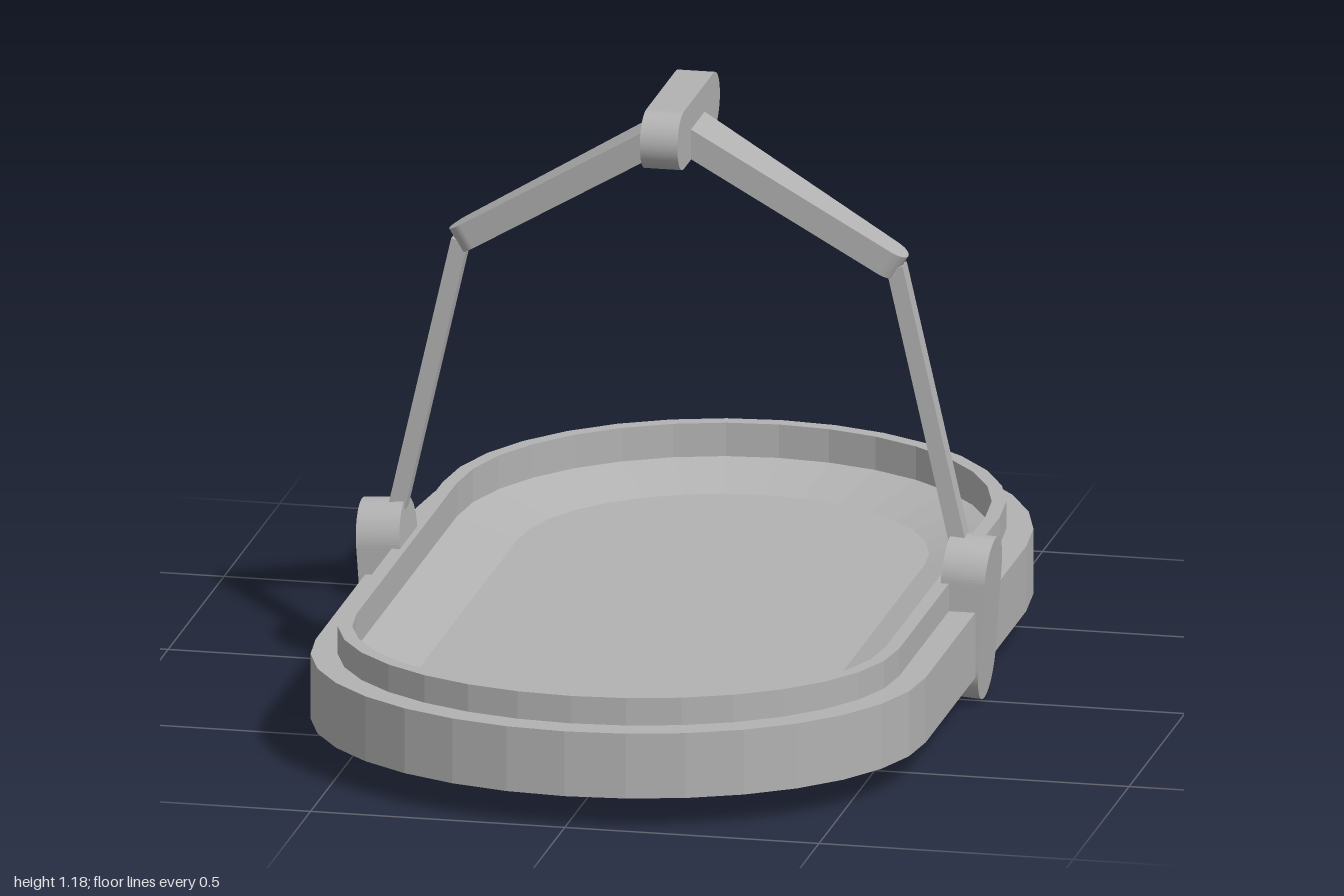
import * as THREE from 'three';

const grey = new THREE.MeshStandardMaterial({ color: 0xb2b2b2 });
grey.name = 'plain grey';

function addMesh(parent, name, geometry) {
  const mesh = new THREE.Mesh(geometry, grey);
  mesh.name = name;
  parent.add(mesh);
  return mesh;
}

// Closed outline: straight sides with a half ellipse at the front and back
function outline(a, front, back, y) {
  const points = [], n = 16;
  for (let i = 0; i <= n; i++) {
    const t = (i / n) * Math.PI;
    points.push([a * Math.cos(t), y, 0.5 + front * Math.sin(t)]);
  }
  for (let i = 0; i <= n; i++) {
    const t = Math.PI + (i / n) * Math.PI;
    points.push([a * Math.cos(t), y, -0.4 + back * Math.sin(t)]);
  }
  return points;
}

// Flat-faced skin over successive outlines
function loft(rings) {
  const pos = [];
  for (let r = 0; r < rings.length - 1; r++) {
    const lo = rings[r], hi = rings[r + 1];
    for (let i = 0; i < lo.length; i++) {
      const j = (i + 1) % lo.length;
      pos.push(...lo[i], ...hi[i], ...hi[j], ...lo[i], ...hi[j], ...lo[j]);
    }
  }
  const g = new THREE.BufferGeometry();
  g.setAttribute('position', new THREE.Float32BufferAttribute(pos, 3));
  g.computeVertexNormals();
  return g;
}

// Plate with round ends, facing sideways and centred on the origin
function roundedPlate(length, width, thickness, upright) {
  const r = width / 2, h = length / 2 - r;
  const s = new THREE.Shape();
  s.absarc(h, 0, r, -Math.PI / 2, Math.PI / 2, false);
  s.absarc(-h, 0, r, Math.PI / 2, Math.PI * 1.5, false);
  s.closePath();
  const g = new THREE.ExtrudeGeometry(s, { depth: thickness, bevelEnabled: false, curveSegments: 20 });
  g.translate(0, 0, -thickness / 2);
  if (upright) g.rotateZ(Math.PI / 2);
  return g.rotateY(Math.PI / 2);
}

// Tapered handle arm with a rounded tip, sloping down towards +x
function upperArmGeometry() {
  const s = new THREE.Shape();
  s.moveTo(0, -0.063);
  s.lineTo(0.475, -0.034);
  s.absarc(0.475, 0, 0.034, -Math.PI / 2, Math.PI / 2, false);
  s.lineTo(0, 0.063);
  s.closePath();
  const g = new THREE.ExtrudeGeometry(s, { depth: 0.052, bevelEnabled: false, curveSegments: 12 });
  return g.translate(0, 0, -0.026).rotateX(Math.PI / 2).rotateZ(-0.535).translate(0, 1.115, 0);
}

export function createModel() {
  const model = new THREE.Group();
  model.name = 'trayWithHandle';

  // Tray: underside, outer wall, ledge, raised rim, inner wall, sloped basin, floor
  addMesh(model, 'tray', loft([
    outline(0, 0, 0, 0.065),
    outline(0.6, 0.5, 0.6, 0.065),
    outline(0.6, 0.5, 0.6, 0.195),
    outline(0.548, 0.445, 0.545, 0.195),
    outline(0.548, 0.445, 0.545, 0.25),
    outline(0.52, 0.415, 0.515, 0.25),
    outline(0.52, 0.415, 0.515, 0.183),
    outline(0.4, 0.29, 0.39, 0.145),
    outline(0, 0, 0, 0.145),
  ]));

  // Folding handle, slightly behind the middle
  const handle = new THREE.Group();
  handle.name = 'handle';
  handle.position.z = -0.022;
  model.add(handle);

  const grip = addMesh(handle, 'grip', roundedPlate(0.38, 0.115, 0.074, false));
  grip.position.set(0, 1.12, -0.008);

  // Each side: upper arm, thin lower arm and tray clip
  for (const side of ['left', 'right']) {
    const half = new THREE.Group();
    half.name = side + 'Arm';
    if (side === 'right') half.rotation.y = Math.PI;
    handle.add(half);

    addMesh(half, side + 'UpperArm', upperArmGeometry());

    const from = new THREE.Vector2(0.562, 0.27), to = new THREE.Vector2(0.428, 0.858);
    const lower = addMesh(half, side + 'LowerArm',
      new THREE.BoxGeometry(0.033, from.distanceTo(to), 0.037));
    lower.position.set((from.x + to.x) / 2, (from.y + to.y) / 2, 0);
    lower.rotation.z = Math.atan2(from.x - to.x, to.y - from.y);

    const clip = addMesh(half, side + 'Clip', roundedPlate(0.322, 0.155, 0.086, true));
    clip.position.set(0.569, 0.166, 0);
    clip.rotation.z = -0.07;
  }
  return model;
}
